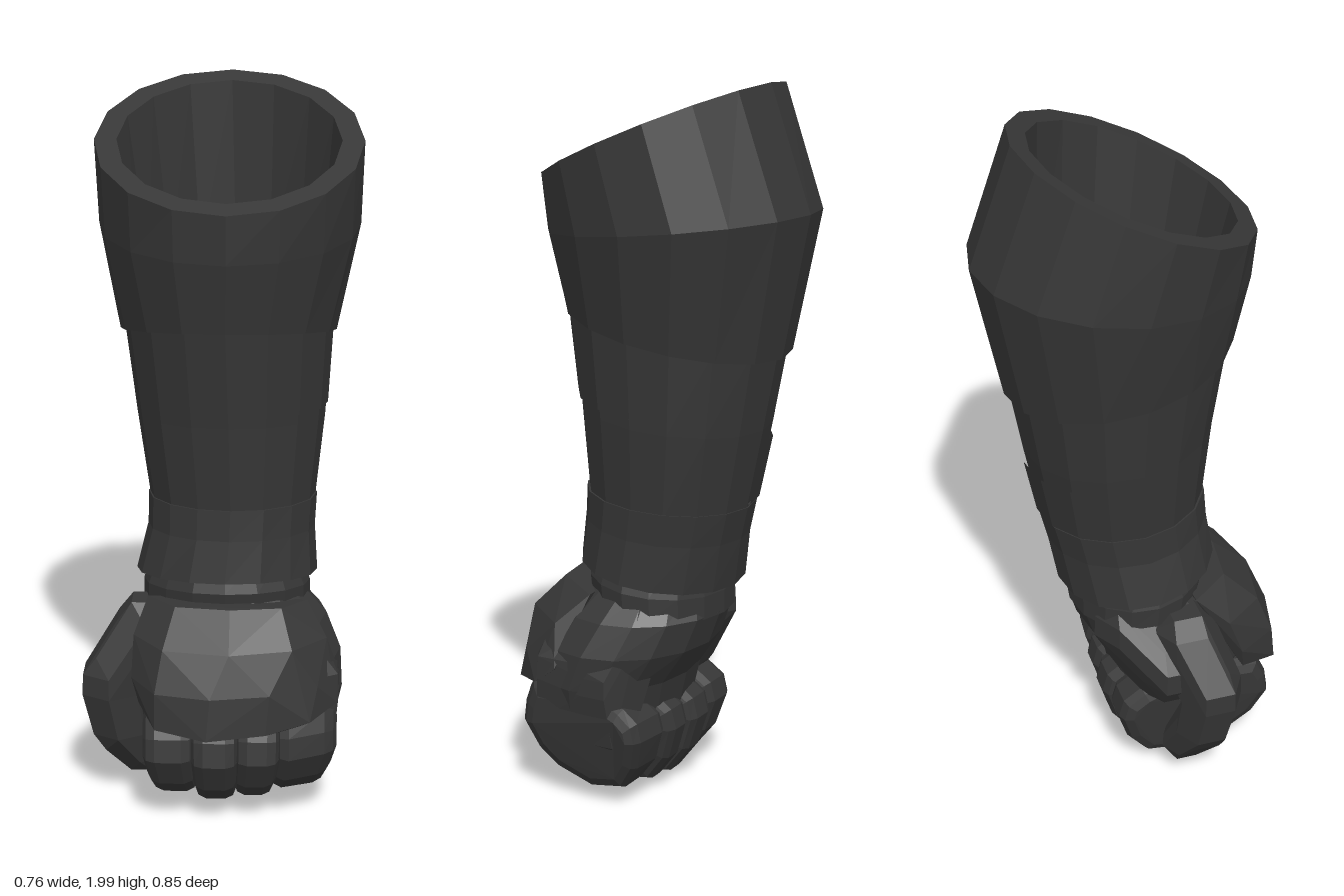
import * as THREE from 'three';
import { ConvexGeometry } from 'three/addons/geometries/ConvexGeometry.js';

const SIDES = 16;

// Flat-faced shell through elliptical rings [y, cx, cz, rx, rz, tilt], optionally only sides from..to
function loft(rings, from = 0, to = SIDES) {
  const pos = [];
  const point = ([y, cx, cz, rx, rz, tilt = 0], i) => {
    const a = (i / SIDES) * Math.PI * 2;
    const z = cz + rz * Math.cos(a);
    return [cx + rx * Math.sin(a), y + tilt * z, z];
  };
  for (let r = 0; r < rings.length - 1; r++) {
    for (let i = from; i < to; i++) {
      const a = point(rings[r], i), b = point(rings[r], i + 1);
      const c = point(rings[r + 1], i), d = point(rings[r + 1], i + 1);
      pos.push(...a, ...c, ...b, ...b, ...c, ...d);
    }
  }
  const g = new THREE.BufferGeometry();
  g.setAttribute('position', new THREE.Float32BufferAttribute(pos, 3));
  g.computeVertexNormals();
  return g;
}

// Faceted flesh or limb segment: hull around coarse balls [x, y, z, radius]
function segment(...balls) {
  const pts = [];
  for (const [x, y, z, r] of balls) {
    for (const [lat, n] of [[-0.9, 4], [-0.25, 6], [0.35, 6], [0.95, 4]]) {
      for (let i = 0; i < n; i++) {
        const a = ((i + 0.5) / n) * Math.PI * 2;
        pts.push(new THREE.Vector3(
          x + r * Math.cos(lat) * Math.cos(a), y + r * Math.sin(lat) * 1.1, z + r * Math.cos(lat) * Math.sin(a)));
      }
    }
  }
  return new ConvexGeometry(pts);
}

// Finger: bevelled side profile [z, y] extruded across x, narrowing toward the bottom
// of the fist and sweeping back toward its outer edge
function finger(x, width, lift, depth) {
  const curl = [[0.335, 0.335], [0.365, 0.27], [0.375, 0.2], [0.33, 0.11], [0.26, 0.05], [0.12, 0],
    [-0.01, 0.02], [-0.07, 0.1], [-0.1, 0.2], [-0.085, 0.26], [-0.03, 0.3], [0.1, 0.35]];
  const shape = new THREE.Shape(curl.map(([z, y]) =>
    new THREE.Vector2(-(0.13 + (z - 0.13) * depth), y + lift * (1 - y / 0.35))));
  const bevel = 0.034;
  const g = new THREE.ExtrudeGeometry(shape, {
    depth: width - 2 * bevel, bevelEnabled: true, bevelSegments: 2,
    bevelSize: bevel, bevelOffset: -bevel, bevelThickness: bevel,
  });
  g.rotateY(Math.PI / 2);
  g.translate(x + bevel, 0, 0);
  const p = g.attributes.position;
  for (let i = 0; i < p.count; i++) {
    p.setZ(i, p.getZ(i) * (1 - 1.5 * Math.max(0, p.getX(i) - 0.2)));
    p.setX(i, p.getX(i) * (0.82 + 0.18 * Math.min(1, p.getY(i) / 0.22)));
  }
  g.computeVertexNormals();
  return g;
}

export function createModel() {
  const model = new THREE.Group();
  model.name = 'armouredForearm';
  const dark = new THREE.MeshStandardMaterial({ color: 0x363636, side: THREE.DoubleSide });
  dark.name = 'charcoal';
  const add = (name, geometry, parent = model) => {
    const mesh = new THREE.Mesh(geometry, dark);
    mesh.name = name;
    parent.add(mesh);
  };
  const addGroup = (name) => {
    const group = new THREE.Group();
    group.name = name;
    model.add(group);
    return group;
  };

  // Upper cuff: hollow floor, inner wall, slanted rim, outer wall and hem
  add('upperCuff', loft([
    [0.80, 0.025, 0.015, 0, 0],
    [0.80, 0.025, 0.015, 0.137, 0.127],
    [1.00, 0.02, 0, 0.17, 0.16],
    [1.50, 0.03, -0.02, 0.255, 0.245],
    [1.864, 0.02, 0.01, 0.30, 0.27, -0.4375],
    [1.864, 0.02, 0.01, 0.36, 0.32, -0.4375],
    [1.62, 0.02, -0.054, 0.355, 0.375, -0.1],
    [1.34, 0.017, -0.035, 0.296, 0.315, 0.2],
    [1.34, 0.017, -0.035, 0.27, 0.29, 0.2],
  ]));

  // Forearm sleeve and the flared wrist guard below it
  add('forearmSleeve', loft([
    [1.36, 0.017, -0.035, 0.284, 0.304, 0.2],
    [1.10, 0.025, -0.035, 0.260, 0.264, 0.1],
    [0.86, 0.03, -0.023, 0.230, 0.230, 0.08],
  ]));
  add('wristGuard', loft([
    [0.87, 0.03, -0.023, 0.225, 0.225, 0.08],
    [0.87, 0.03, -0.022, 0.235, 0.236, 0.08],
    [0.78, 0.027, -0.008, 0.233, 0.228, 0.1],
    [0.65, 0.015, 0.012, 0.253, 0.224, 0.15],
    [0.65, 0.015, 0.012, 0.20, 0.17, 0.15],
  ]));

  // Overlapping sleeve plates
  add('frontPlate', loft([
    [1.36, 0.017, -0.035, 0.288, 0.309, 0.2],
    [1.13, 0.024, -0.035, 0.268, 0.275, 0.1],
    [1.13, 0.024, -0.035, 0.255, 0.258, 0.1],
  ], 0, 4));
  add('backPlate', loft([
    [1.06, 0.025, -0.035, 0.261, 0.265, 0.1],
    [0.88, 0.03, -0.025, 0.239, 0.240, 0.08],
    [0.88, 0.03, -0.025, 0.22, 0.22, 0.08],
  ], 8, 11));

  // Wrist band and fist core
  add('wrist', loft([
    [0.72, 0.015, 0.015, 0.20, 0.17],
    [0.62, 0.015, 0.015, 0.233, 0.195, 0.12],
    [0.56, 0.015, 0.010, 0.233, 0.19, 0.15],
    [0.56, 0.015, 0.010, 0.20, 0.16, 0.15],
  ]));
  add('palm', loft([
    [0.62, 0.015, 0.03, 0.20, 0.17],
    [0.54, 0.035, 0.055, 0.26, 0.232],
    [0.45, 0.05, 0.095, 0.285, 0.245],
    [0.35, 0.05, 0.13, 0.29, 0.21],
    [0.22, 0.05, 0.14, 0.26, 0.19],
    [0.12, 0.05, 0.13, 0.20, 0.14],
    [0.07, 0.05, 0.13, 0, 0],
  ]));

  // Domed back-of-hand plate ending in a knuckle ledge, as rows of [x, y, z]
  const plate = [
    [-0.2, 0.61, 0.13], [-0.12, 0.62, 0.24], [0.03, 0.62, 0.26], [0.17, 0.62, 0.24], [0.24, 0.60, 0.12],
    [-0.235, 0.53, 0.22], [-0.15, 0.53, 0.335], [0.03, 0.53, 0.365], [0.2, 0.53, 0.325], [0.295, 0.52, 0.2],
    [-0.24, 0.42, 0.26], [-0.17, 0.42, 0.375], [-0.02, 0.42, 0.41], [0.14, 0.42, 0.38], [0.27, 0.42, 0.31],
    [0.335, 0.40, 0.18], [-0.22, 0.35, 0.27], [-0.17, 0.32, 0.385], [-0.03, 0.305, 0.425], [0.13, 0.31, 0.39],
    [0.25, 0.33, 0.345], [0.325, 0.35, 0.25], [-0.15, 0.30, 0.34], [0.2, 0.30, 0.32],
  ];
  add('backOfHandPlate', new ConvexGeometry(plate.map((p) => new THREE.Vector3(...p))));

  // Curled fingers: left edge, width, lift, depth scale
  const fingers = addGroup('fingers');
  [[-0.207, 0.14, 0.03, 0.96], [-0.075, 0.13, 0.008, 1], [0.047, 0.122, 0.02, 0.97], [0.16, 0.165, 0.045, 0.92]]
    .forEach((f, i) => add('finger' + (i + 1), finger(...f), fingers));

  // Outer edge of the hand, rounding from the heel into the little finger
  add('outerHand', segment([0.245, 0.39, 0.19, 0.1], [0.24, 0.25, 0.21, 0.09], [0.19, 0.52, 0.0, 0.085],
    [0.268, 0.36, 0.06, 0.078], [0.26, 0.21, 0.04, 0.062], [0.215, 0.13, 0.13, 0.06]));

  // Thumb folded down along the right side
  const thumb = addGroup('thumb');
  const joints = [[-0.205, 0.50, 0.09, 0.1], [-0.305, 0.36, 0.145, 0.092],
    [-0.283, 0.23, 0.13, 0.085], [-0.225, 0.13, 0.09, 0.066]];
  ['thumbBase', 'thumbMiddle', 'thumbTip'].forEach((name, i) => add(name, segment(joints[i], joints[i + 1]), thumb));
  add('thumbHeel', segment([-0.12, 0.52, -0.05, 0.1], [-0.22, 0.4, 0.06, 0.1], [-0.15, 0.36, 0.02, 0.08]), thumb);

  return model;
}
